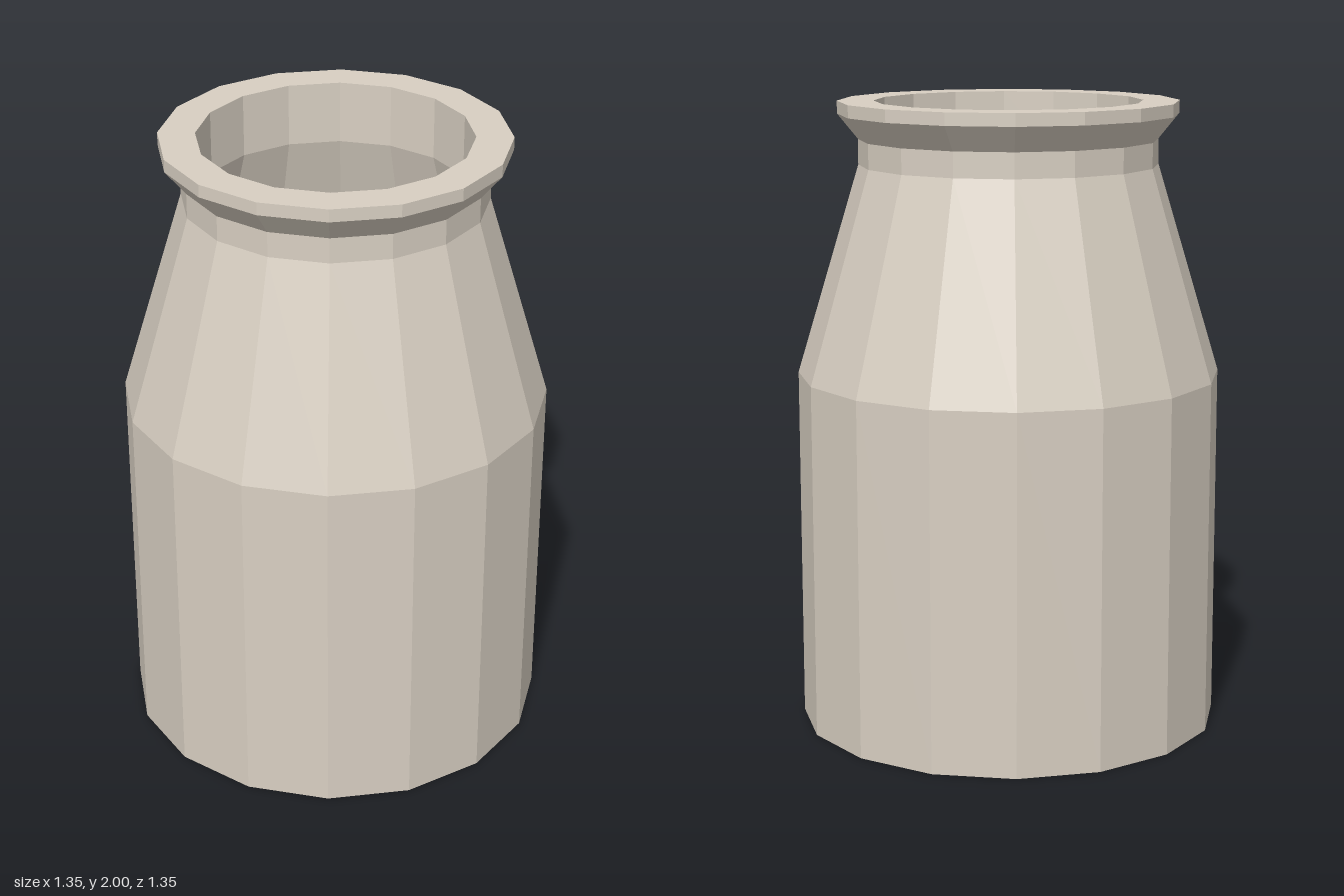
import * as THREE from 'three';
import { mergeGeometries } from 'three/addons/utils/BufferGeometryUtils.js';

const SIDES = 16;
const FILL = 1.0;

// Faceted surface of revolution from [radius, height] pairs
function facetedLathe(profile, sides) {
  const points = profile.map(([r, y]) => new THREE.Vector2(r, y));
  const geometry = new THREE.LatheGeometry(points, sides).toNonIndexed();
  geometry.computeVertexNormals();
  return geometry;
}

// Raised strokes following a square-cornered path on the coin face
function keyStrokes(path, y) {
  const width = 0.011;
  return path.slice(1).map(([x, z], i) => {
    const [px, pz] = path[i];
    const box = new THREE.BoxGeometry(Math.abs(x - px) + width, 0.006, Math.abs(z - pz) + width);
    return box.translate((x + px) / 2, y, (z + pz) / 2);
  });
}

export function createModel() {
  const model = new THREE.Group();
  const clay = new THREE.MeshStandardMaterial({ color: 0xd8cfc2 });
  clay.name = 'pale clay';
  const gold = new THREE.MeshStandardMaterial({ color: 0xd8cb10 });
  gold.name = 'yellow fill';

  const add = (name, geometry, material, parent = model) => {
    const mesh = new THREE.Mesh(geometry, material);
    mesh.name = name;
    parent.add(mesh);
    return mesh;
  };

  // Hollow jar: outside from the base up, over the lip, then down the inside
  add('jar', facetedLathe([
    [0, 0], [0.675, 0], [0.675, 1.135], [0.475, 1.8], [0.475, 1.88],
    [0.54, 1.96], [0.54, 2], [0.425, 2], [0.425, 1.8], [0.62, 1.12],
    [0.62, 0.06], [0, 0.06],
  ], SIDES), clay);

  // Fill inside the jar
  const fill = add('fill', new THREE.CylinderGeometry(0.62, 0.62, FILL - 0.07, SIDES), gold);
  fill.position.y = (FILL + 0.07) / 2;

  // Coin body with a raised rim
  const coinBody = facetedLathe([
    [0, -0.02], [0.12, -0.02], [0.13, -0.012], [0.13, 0.012], [0.122, 0.02],
    [0.108, 0.02], [0.104, 0.014], [0, 0.014],
  ], 12);

  // Square spirals and stepped ticks on the coin face
  const coinRelief = mergeGeometries([
    [[-0.035, 0.01], [-0.035, 0.03], [-0.015, 0.03], [-0.015, -0.02], [-0.065, -0.02], [-0.065, 0.055], [-0.01, 0.055]],
    [[0.035, 0.03], [0.015, 0.03], [0.015, 0.055], [0.06, 0.055], [0.06, 0.005], [0.015, 0.005], [0.015, -0.02], [0.065, -0.02]],
    [[-0.01, -0.045], [0.04, -0.045], [0.04, -0.075]],
    [[0.01, -0.045], [0.01, -0.08]],
  ].flatMap((path) => keyStrokes(path, 0.015)));

  // Coins scattered on the fill: x, height above it, z, lean about x, lean about z, turn
  [
    [-0.105, 0.025, -0.325, 0, 0.03, -0.5],
    [0.135, 0.05, -0.195, 0, 0, -0.1],
    [0.245, 0.025, -0.035, 0, 0, -0.6],
    [-0.235, 0.07, -0.065, 0.3, 0.12, -0.25],
    [-0.105, 0.09, 0.165, -0.15, 0.3, -0.2],
    [0.08, 0.025, 0.125, 0, 0, -0.4],
    [0.215, 0.085, 0.155, 0.15, -0.1, -0.3],
  ].forEach(([x, y, z, leanX, leanZ, turn], i) => {
    const coin = new THREE.Group();
    coin.name = `coin${i + 1}`;
    add('coinBody', coinBody, clay, coin);
    add('coinRelief', coinRelief, clay, coin);
    coin.position.set(x, FILL + y, z);
    coin.rotation.set(leanX, turn, leanZ, 'XZY');
    model.add(coin);
  });

  return model;
}
